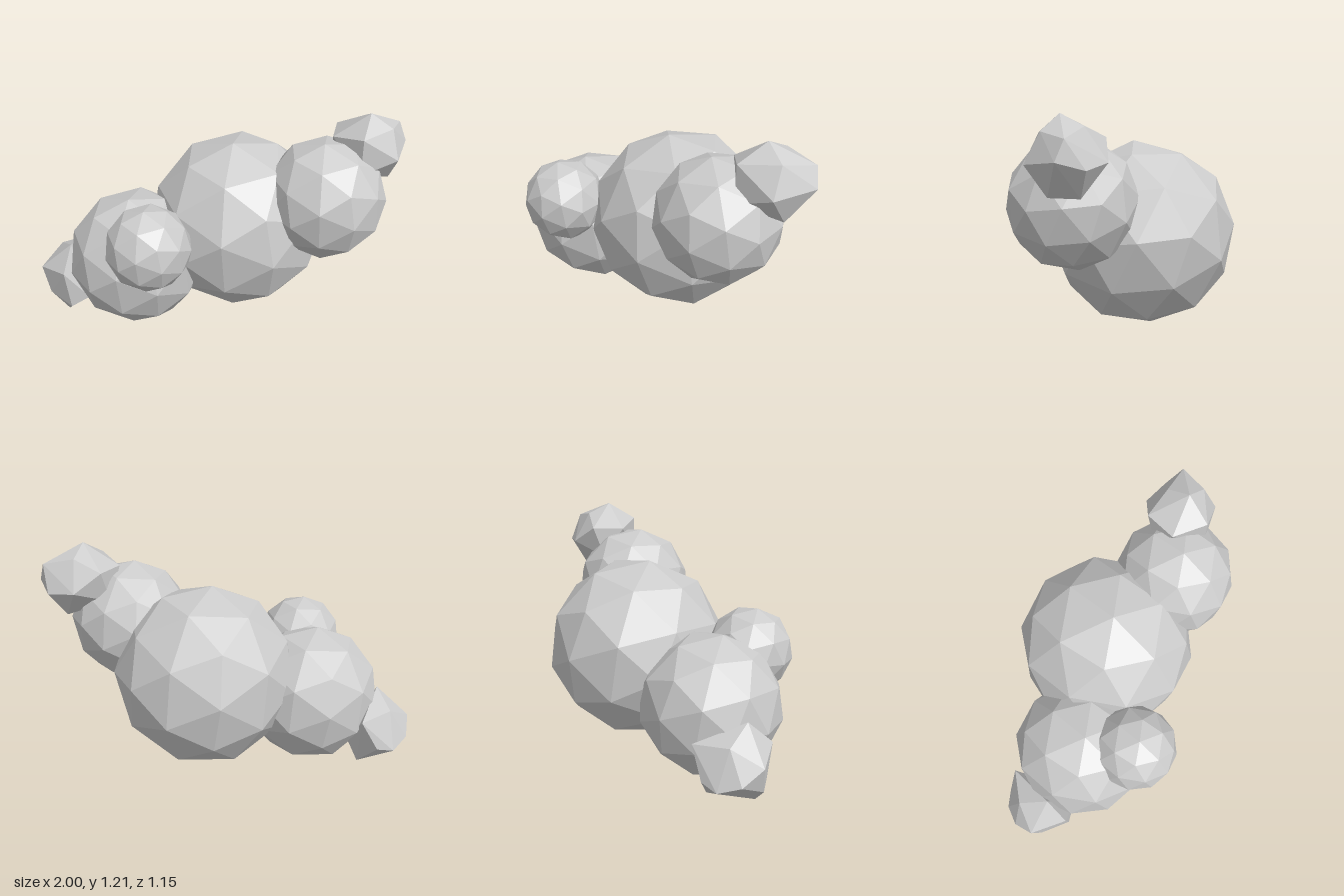
import * as THREE from 'three';
import { ConvexGeometry } from 'three/addons/geometries/ConvexGeometry.js';

export function createModel() {
  const group = new THREE.Group();
  const material = new THREE.MeshStandardMaterial({ color: 0xcccccc, flatShading: true });

  function add(name, geometry) {
    const mesh = new THREE.Mesh(geometry, material);
    mesh.name = name;
    group.add(mesh);
    return mesh;
  }

  // Faceted round lobes, all tilted the same way: name, centre, radius
  const lobes = [
    ['mainLobe', [0.125, 0.53, -0.075], 0.503],
    ['rightLobe', [-0.475, 0.385, -0.1], 0.384],
    ['leftFrontLobe', [0.51, 0.755, 0.24], 0.337],
    ['rightFrontLobe', [-0.475, 0.605, 0.2], 0.232],
  ];
  for (const [name, centre, radius] of lobes) {
    const lobe = add(name, new THREE.IcosahedronGeometry(radius, 1));
    lobe.position.set(...centre);
    lobe.rotation.set(0.1, 0.04, 0.1);
  }

  // Irregular chunks at the two ends, each the hull of a few corners
  const chunks = {
    leftTip: [
      [0.75, 1.215, 0.25], [0.995, 1.02, 0.23], [0.97, 1.12, 0.19], [0.95, 0.98, 0.1],
      [0.87, 0.845, 0.29], [0.86, 0.84, 0.14], [0.85, 0.99, 0.4], [0.85, 1.14, 0.32],
      [0.81, 1.0, 0.02], [0.66, 1.1, 0.05], [0.8, 1.16, 0.13], [0.56, 1.09, 0.2],
      [0.65, 1.12, 0.37], [0.65, 0.92, 0.37], [0.62, 0.92, 0.1],
    ],
    rightTip: [
      [-1, 0.295, -0.29], [-0.97, 0.14, -0.25], [-0.88, 0.035, -0.2], [-0.7, 0.06, -0.36],
      [-0.86, 0.4, -0.25], [-0.9, 0.33, -0.11], [-0.875, 0.105, -0.11], [-0.77, 0.155, -0.1],
      [-0.96, 0.22, -0.4], [-0.865, 0.18, -0.47], [-0.77, 0.2, -0.475], [-0.86, 0.38, -0.38],
      [-0.83, 0.45, -0.22], [-0.68, 0.36, -0.45], [-0.68, 0.12, -0.2],
    ],
  };
  for (const [name, corners] of Object.entries(chunks)) {
    add(name, new ConvexGeometry(corners.map((c) => new THREE.Vector3(...c))));
  }

  return group;
}
